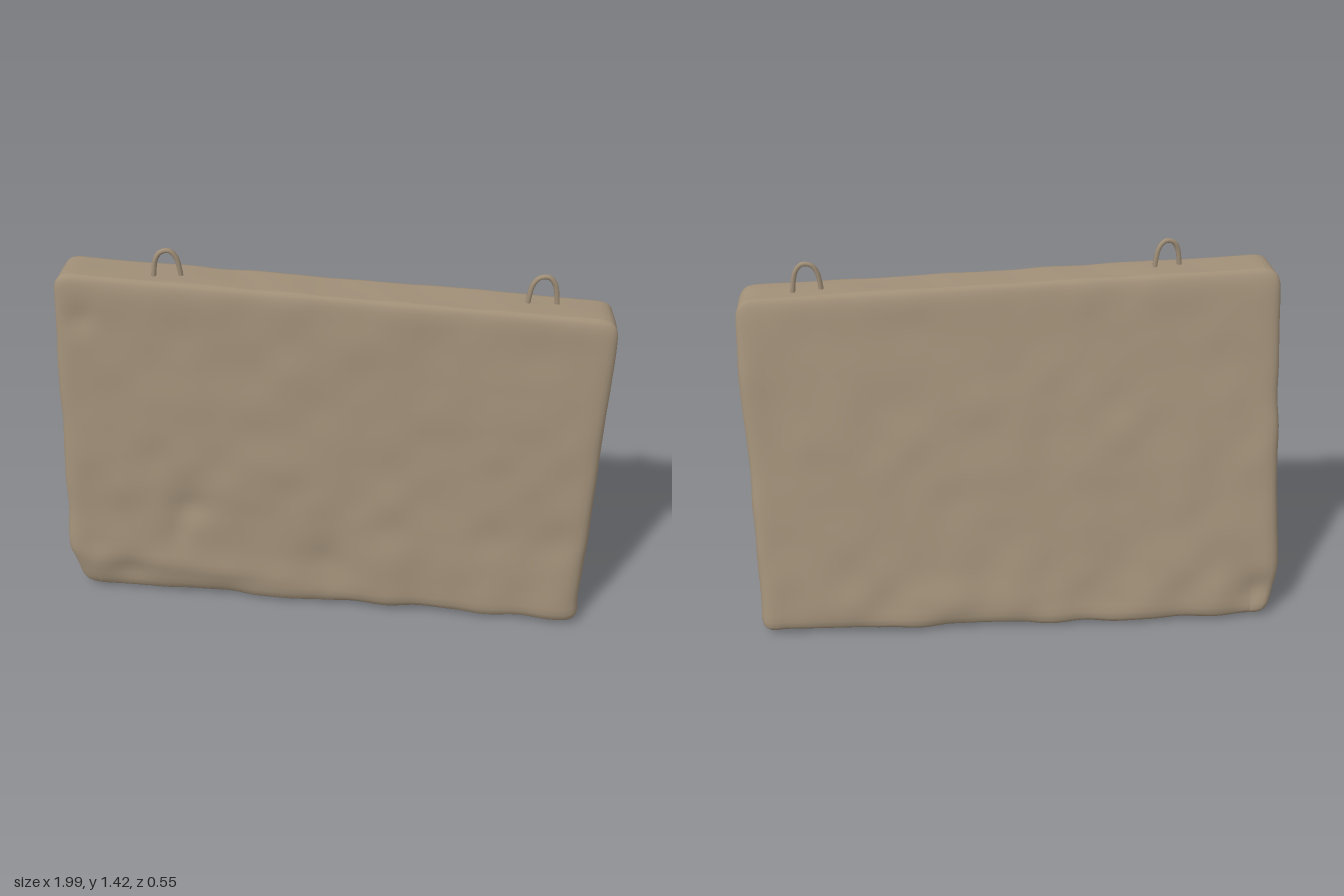
import * as THREE from 'three';
import { mergeVertices } from 'three/addons/utils/BufferGeometryUtils.js';

const { clamp, lerp, smoothstep } = THREE.MathUtils;

// Repeatable smooth 3D value noise in -1..1
function hash(i, j, k) {
  const s = Math.sin(i * 127.1 + j * 311.7 + k * 74.7) * 43758.5453;
  return (s - Math.floor(s)) * 2 - 1;
}
function noise(x, y, z) {
  const i = Math.floor(x), j = Math.floor(y), k = Math.floor(z);
  const u = smoothstep(x - i, 0, 1), v = smoothstep(y - j, 0, 1), w = smoothstep(z - k, 0, 1);
  const row = (b, c) => lerp(hash(i, b, c), hash(i + 1, b, c), u);
  const plane = (c) => lerp(row(j, c), row(j + 1, c), v);
  return lerp(plane(k), plane(k + 1), w);
}

// Height of the broken lower front edge along x
const chipLine = [[-1, 0.19], [-0.6, 0.17], [-0.2, 0.12], [0.1, 0.06], [0.3, 0.07], [0.6, 0.04], [1, 0.05]];
function chipHeight(x) {
  for (let i = 1; i < chipLine.length; i++) {
    const [x0, y0] = chipLine[i - 1], [x1, y1] = chipLine[i];
    if (x <= x1) return lerp(y0, y1, clamp((x - x0) / (x1 - x0), 0, 1));
  }
  return 0.05;
}

// Shallow dents: x, y, side (1 front, -1 back), width, height, depth
const dents = [
  [0.02, 0.14, 1, 0.11, 0.16, 0.025],
  [-0.5, 0.42, 1, 0.07, 0.06, 0.018],
  [-0.55, 0.33, 1, 0.04, 0.08, 0.012],
  [-0.86, 1.17, 1, 0.05, 0.05, 0.012],
  [-0.92, 0.12, -1, 0.05, 0.06, 0.02],
];

// Tapered, worn concrete slab made from a rounded box
function slabGeometry() {
  const half = new THREE.Vector3(1, 0.65, 0.275), r = 0.055;
  const inner = half.clone().subScalar(r);
  let geo = new THREE.BoxGeometry(2, 1.3, 0.55, 72, 48, 22);
  geo.deleteAttribute('uv');
  geo.deleteAttribute('normal');
  geo = mergeVertices(geo, 1e-4);
  const pos = geo.attributes.position;
  const p = new THREE.Vector3(), core = new THREE.Vector3(), n = new THREE.Vector3();
  for (let i = 0; i < pos.count; i++) {
    p.fromBufferAttribute(pos, i);
    core.copy(p).clamp(inner.clone().negate(), inner);
    n.copy(p).sub(core).normalize();
    p.copy(core).addScaledVector(n, r);

    // Taper the sides and slope the top
    const t = (p.y + 0.65) / 1.3;
    let x = lerp(lerp(-1, -0.945, t), lerp(0.975, 0.99, t), (p.x + 1) / 2);
    let y = 0.008 + t * (1.285 - 0.039 * p.x);
    let z = lerp(lerp(-0.28, -0.015, t), lerp(0.273, 0.168, t), (p.z + 0.275) / 0.55);

    // Broken lower edge on the front and the left-hand corner
    const chip = Math.max(0, chipHeight(x) - y);
    if (p.z > 0) z -= chip * 0.28 * (p.z / 0.275);
    if (p.x < -0.9) x += chip * 0.2;

    for (const [dx, dy, side, w, h, depth] of dents) {
      if (p.z * side > 0.2) {
        z -= side * depth * Math.exp(-(((x - dx) / w) ** 2) - ((y - dy) / h) ** 2);
      }
    }

    // Uneven surface, rougher near the ground
    const rough = 0.006 + 0.007 * (1 - smoothstep(y, 0.05, 0.3));
    const d = rough * noise(x * 8, y * 8, z * 8) + 0.004 * noise(x * 3 + 9, y * 3, z * 3);
    pos.setXYZ(i, x + n.x * d, Math.max(0, y + n.y * d * 0.6), z + n.z * d);
  }
  geo.computeVertexNormals();
  return geo;
}

// Bent steel lifting loop from (x0, z0) to (x1, z1)
function loopGeometry(x0, x1, z0, z1, base, top) {
  const at = (u, y) => new THREE.Vector3(lerp(x0, x1, u), y, lerp(z0, z1, u));
  const h = top - base;
  const path = new THREE.CatmullRomCurve3([
    at(0, base - 0.04), at(0.04, base + h * 0.2), at(0.14, base + h * 0.72), at(0.32, base + h * 0.96),
    at(0.62, base + h), at(0.84, base + h * 0.76), at(0.96, base + h * 0.2), at(1, base - 0.04),
  ]);
  return new THREE.TubeGeometry(path, 28, 0.009, 8);
}

export function createModel() {
  const concrete = new THREE.MeshStandardMaterial({ color: 0xa08f78 });
  concrete.name = 'concrete';
  const group = new THREE.Group();
  group.name = 'concreteBarrier';
  const add = (name, geometry) => {
    const mesh = new THREE.Mesh(geometry, concrete);
    mesh.name = name;
    group.add(mesh);
  };
  add('slab', slabGeometry());
  add('rightLiftingLoop', loopGeometry(-0.605, -0.508, 0.102, 0.085, 1.31, 1.41));
  add('leftLiftingLoop', loopGeometry(0.685, 0.79, 0.066, 0.054, 1.26, 1.362));
  return group;
}
